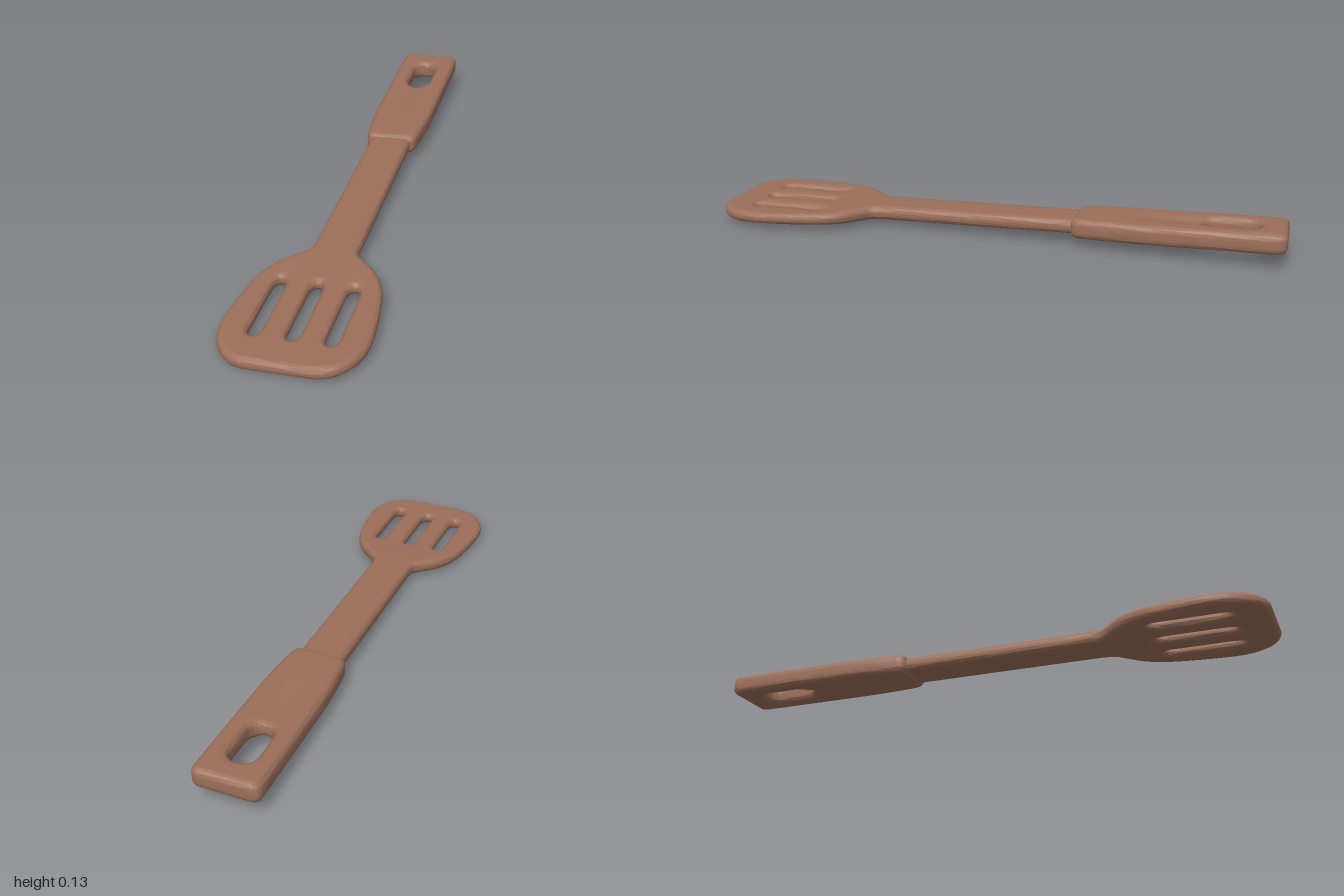
import * as THREE from 'three';
import { toCreasedNormals } from 'three/addons/utils/BufferGeometryUtils.js';

const material = new THREE.MeshStandardMaterial({ color: 0x9c6f5a });
const { smoothstep } = THREE.MathUtils;

// Oblong hole with rounded ends, given in plan (x, z)
function slot(x, z0, z1, halfWidth, end) {
  const path = new THREE.Path();
  path.absellipse(x, -z0 - end, halfWidth, end, 0, Math.PI);
  path.absellipse(x, -z1 + end, halfWidth, end, Math.PI, Math.PI * 2);
  path.closePath();
  return path;
}

// Split every edge longer than max so flat faces can be bent
function subdivide(geometry, max) {
  const p = geometry.toNonIndexed ? (geometry.index ? geometry.toNonIndexed() : geometry).attributes.position : null;
  const out = [];
  const split = (t) => {
    const len = [0, 1, 2].map((i) => t[i].distanceTo(t[(i + 1) % 3]));
    const i = len.indexOf(Math.max(...len));
    if (len[i] <= max) {
      t.forEach((v) => out.push(v.x, v.y, v.z));
      return;
    }
    const a = t[i], b = t[(i + 1) % 3], c = t[(i + 2) % 3];
    const m = a.clone().add(b).multiplyScalar(0.5);
    split([a, m, c]);
    split([m, b, c]);
  };
  for (let i = 0; i < p.count; i += 3) {
    split([0, 1, 2].map((k) => new THREE.Vector3().fromBufferAttribute(p, i + k)));
  }
  const g = new THREE.BufferGeometry();
  g.setAttribute('position', new THREE.Float32BufferAttribute(out, 3));
  return g;
}

// Rounded slab from a plan shape; thickness(x, z) scales its height,
// then the whole slab follows the gentle slope, roll and yaw of the tool
function slab(name, shape, height, bevelSize, bevelThickness, thickness) {
  const depth = height - 2 * bevelThickness;
  let g = new THREE.ExtrudeGeometry(shape, {
    depth, bevelEnabled: true, bevelSize, bevelThickness,
    bevelOffset: -bevelSize, bevelSegments: 5, curveSegments: 10,
  });
  g.translate(0, 0, -depth / 2).rotateX(-Math.PI / 2);
  g = subdivide(g, 0.03);
  const p = g.attributes.position;
  for (let i = 0; i < p.count; i++) {
    const x = p.getX(i), z = p.getZ(i);
    const y = p.getY(i) * thickness(x, z);
    p.setXYZ(i, x + 0.003 - 0.006 * z, y + 0.062 - 0.031 * z + 0.038 * x, z);
  }
  const mesh = new THREE.Mesh(toCreasedNormals(g, 0.8), material);
  mesh.name = name;
  return mesh;
}

export function createModel() {
  const group = new THREE.Group();
  group.name = 'slottedSpatula';

  // Blade and shaft: half outline as a smooth curve, mirrored
  const edge = new THREE.CatmullRomCurve3([
    [0.075, 0.40], [0.082, 0.437], [0.11, 0.468], [0.16, 0.518], [0.198, 0.59], [0.215, 0.67],
    [0.23, 0.82], [0.222, 0.89], [0.19, 0.95], [0.15, 0.984], [0.11, 0.997],
  ].map(([x, z]) => new THREE.Vector3(x, -z, 0)), false, 'centripetal').getPoints(36);
  const half = [new THREE.Vector2(0.075, 0.36), ...edge.map((v) => new THREE.Vector2(v.x, v.y))];
  const blade = new THREE.Shape([
    ...half,
    ...half.slice().reverse().map((v) => new THREE.Vector2(-v.x, v.y)),
  ]);
  for (const x of [-0.118, 0, 0.118]) blade.holes.push(slot(x, 0.6, 0.88, 0.021, 0.04));
  group.add(slab('bladeAndShaft', blade, 0.042, 0.02, 0.018,
    (x, z) => 1 + 0.2 * (1 - smoothstep(z, 0.45, 0.62))));

  // Handle grip, narrowing toward the shaft
  const grip = new THREE.Shape();
  grip.moveTo(-0.065, 0.285);
  grip.lineTo(0.065, 0.285);
  grip.quadraticCurveTo(0.091, 0.285, 0.095, 0.32);
  grip.quadraticCurveTo(0.108, 0.42, 0.109, 0.56);
  grip.lineTo(0.11, 0.965);
  grip.quadraticCurveTo(0.11, 1, 0.078, 1);
  grip.lineTo(-0.078, 1);
  grip.quadraticCurveTo(-0.11, 1, -0.11, 0.965);
  grip.lineTo(-0.109, 0.56);
  grip.quadraticCurveTo(-0.108, 0.42, -0.095, 0.32);
  grip.quadraticCurveTo(-0.091, 0.285, -0.065, 0.285);
  // Hanging hole, with a shallow hollow running from it along the grip
  grip.holes.push(slot(0, -0.91, -0.715, 0.044, 0.045));
  group.add(slab('handle', grip, 0.07, 0.022, 0.022, (x, z) => {
    const along = smoothstep(-z, 0.4, 0.68) * (1 - smoothstep(-z, 0.72, 0.8));
    return 1 - 0.28 * along * Math.exp(-((x / 0.032) ** 2));
  }));

  return group;
}
